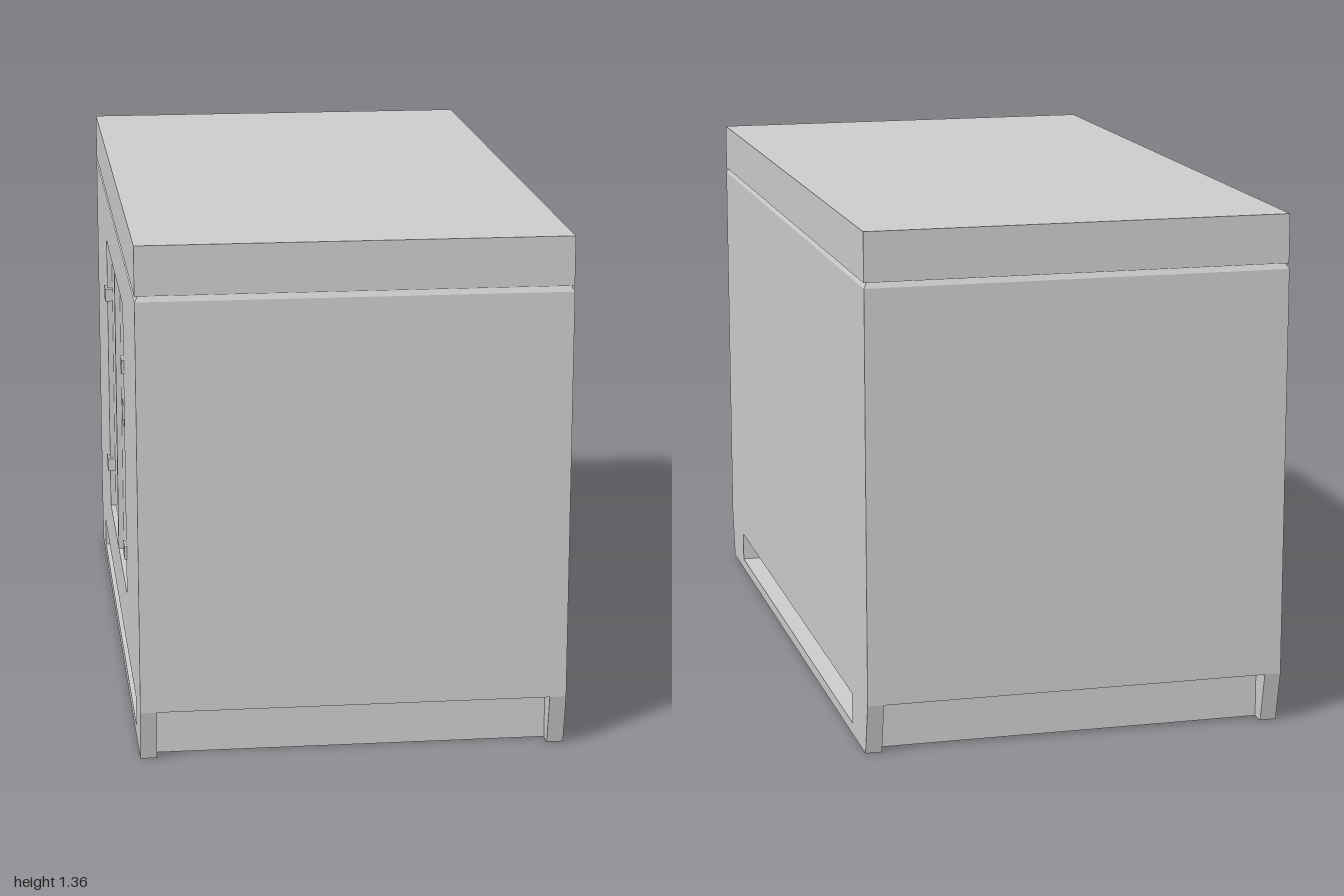
import * as THREE from 'three';

const HW = 0.554, HL = 1, SILL = 0.135, WALL_TOP = 1.213, CAP_BASE = 1.227, TOP = 1.355;
const material = new THREE.MeshStandardMaterial({ color: 0xcccccc, side: THREE.DoubleSide });

function add(parent, name, geometry) {
  const mesh = new THREE.Mesh(geometry, material);
  mesh.name = name;
  parent.add(mesh);
  return mesh;
}

// flat four-cornered sheet, corners counter-clockwise from its front
function quad(parent, name, a, b, c, d) {
  const g = new THREE.BufferGeometry();
  g.setAttribute('position', new THREE.Float32BufferAttribute([a, b, c, a, c, d].flat(), 3));
  g.computeVertexNormals();
  return add(parent, name, g);
}

const rectPoints = ([x0, x1, y0, y1]) => [[x0, y0], [x1, y0], [x1, y1], [x0, y1]];

// upright sheet facing +z with rectangular openings
function panel(parent, name, outline, holes = [], z = 0) {
  const vectors = (pts) => pts.map(([x, y]) => new THREE.Vector2(x, y));
  const shape = new THREE.Shape(vectors(outline));
  for (const h of holes) shape.holes.push(new THREE.Path(vectors(rectPoints(h).reverse())));
  return add(parent, name, new THREE.ShapeGeometry(shape).translate(0, 0, z));
}

// recess behind a rectangular opening: four reveals and a back panel
function recess(parent, name, rect, z, depth, holes = []) {
  const group = new THREE.Group();
  group.name = name;
  parent.add(group);
  const pts = rectPoints(rect), back = z - depth;
  pts.forEach(([x, y], i) => {
    const [u, v] = pts[(i + 1) % 4];
    quad(group, name + 'Reveal', [x, y, z], [u, v, z], [u, v, back], [x, y, back]);
  });
  panel(group, name + 'Back', pts, holes, back);
  return group;
}

// long wall with forklift slot; optionally a pair of inset doors
function sideWall(withDoors) {
  const wall = new THREE.Group();
  wall.name = withDoors ? 'doorSide' : 'plainSide';
  const slot = [-0.81, 0.81, 0.03, 0.11];
  const doors = withDoors ? [[-0.43, -0.01, 0.27, 1.08], [0.01, 0.43, 0.27, 1.08]] : [];
  const foot = HL - 0.03;
  panel(wall, 'sideSheet', [
    [-foot, 0], [foot, 0], [HL, SILL], [HL, WALL_TOP], [-HL, WALL_TOP], [-HL, SILL],
  ], [slot, ...doors]);
  recess(wall, 'liftSlot', slot, 0, 0.055);
  // underside of the floor rail
  quad(wall, 'bottomRail', [-foot, 0, -0.045], [foot, 0, -0.045], [foot, 0, 0], [-foot, 0, 0]);

  doors.forEach((door, i) => {
    const s = i ? 1 : -1, mid = 0.08 * s;
    const cup = [mid - 0.045, mid + 0.045, 0.655, 0.72];
    recess(wall, 'door', door, 0, 0.015, [cup]);
    recess(wall, 'handleCup', cup, -0.015, 0.02);
    for (const y of [0.4, 0.918]) {
      add(wall, 'hinge', new THREE.BoxGeometry(0.06, 0.036, 0.022)).position.set(0.44 * s, y, -0.004);
    }
  });
  return wall;
}

// short wall with tapered corner feet and a set-back kick panel
function endWall() {
  const wall = new THREE.Group();
  wall.name = 'endWall';
  const inner = 0.511, taper = -0.03, back = -0.07;
  panel(wall, 'endSheet', rectPoints([-HW, HW, SILL, WALL_TOP]));
  panel(wall, 'kickPanel', rectPoints([-inner, inner, 0, SILL]), [], back);
  quad(wall, 'kickSoffit', [-inner, SILL, back], [inner, SILL, back], [inner, SILL, 0], [-inner, SILL, 0]);
  for (const [a, b] of [[-HW, -inner], [inner, HW]]) {
    quad(wall, 'cornerFoot', [a, 0, taper], [b, 0, taper], [b, SILL, 0], [a, SILL, 0]);
  }
  quad(wall, 'footInside', [-inner, 0, taper], [-inner, 0, back], [-inner, SILL, back], [-inner, SILL, 0]);
  quad(wall, 'footInside', [inner, 0, back], [inner, 0, taper], [inner, SILL, 0], [inner, SILL, back]);
  return wall;
}

export function createModel() {
  const model = new THREE.Group();
  model.name = 'storageContainer';
  model.position.x = 0.002;

  // long sides, doors on the -x side
  for (const s of [-1, 1]) {
    const side = sideWall(s < 0);
    side.rotation.y = s * Math.PI / 2;
    side.position.x = s * HW;
    model.add(side);

    const end = endWall();
    end.rotation.y = s < 0 ? Math.PI : 0;
    end.position.z = s * HL;
    model.add(end);
  }

  // bevelled neck between walls and roof
  const ring = (inset, y) => [[-1, 1], [1, 1], [1, -1], [-1, -1]]
    .map(([x, z]) => [x * (HW - inset), y, z * (HL - inset)]);
  const low = ring(0, WALL_TOP), high = ring(0.008, CAP_BASE);
  for (let i = 0; i < 4; i++) {
    const j = (i + 1) % 4;
    quad(model, 'roofNeck', low[i], low[j], high[j], high[i]);
  }

  // roof cap
  add(model, 'roofCap', new THREE.BoxGeometry(2 * HW, TOP - CAP_BASE, 2 * HL - 0.008))
    .position.y = (TOP + CAP_BASE) / 2;
  return model;
}
